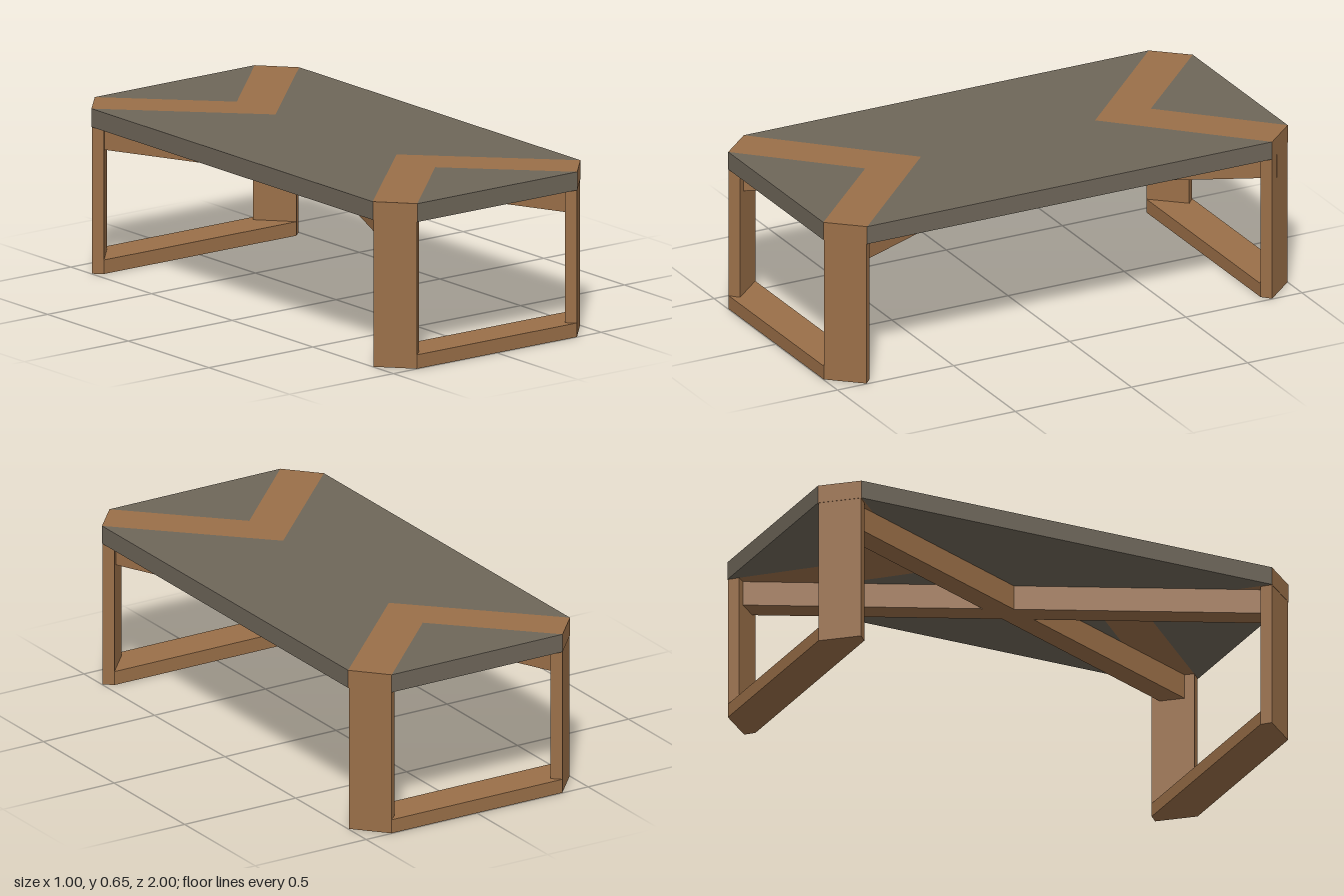
import * as THREE from 'three';

// Prism from a plan outline of [x, z] points, standing between two heights
function prism(name, points, y0, y1, material) {
  const shape = new THREE.Shape(points.map(([x, z]) => new THREE.Vector2(x, -z)));
  const geometry = new THREE.ExtrudeGeometry(shape, { depth: y1 - y0, bevelEnabled: false });
  geometry.rotateX(-Math.PI / 2);
  geometry.translate(0, y0, 0);
  const mesh = new THREE.Mesh(geometry, material);
  mesh.name = name;
  return mesh;
}

export function createModel() {
  const wood = new THREE.MeshStandardMaterial({ color: 0x9a6f48 });
  wood.name = 'oak wood';
  const slate = new THREE.MeshStandardMaterial({ color: 0x6e6659 });
  slate.name = 'grey slate';

  const model = new THREE.Group();
  model.name = 'coffeeTable';
  const H = 0.65, under = 0.578, foot = 0.055;

  // Central tabletop panel, notched by the two V inlays
  model.add(prism('topPanel', [
    [0, 0.375], [0.5, 0.872], [0.5, -0.872], [0, -0.375], [-0.5, -0.872], [-0.5, 0.872],
  ], under, H, slate));

  // Crossed beams under the top, as one X-shaped outline
  const h = 0.045, ex = 0.422, ez = 0.93;
  const a = Math.atan2(ex, ez), c = h * Math.cos(a), s = h * Math.sin(a);
  model.add(prism('crossBeams', [
    [0, h / Math.sin(a)], [ex - c, ez + s], [ex + c, ez - s],
    [h / Math.cos(a), 0], [ex + c, -ez + s], [ex - c, -ez - s],
    [0, -h / Math.sin(a)], [-ex + c, -ez - s], [-ex - c, -ez + s],
    [-h / Math.cos(a), 0], [-ex - c, ez - s], [-ex + c, ez + s],
  ], 0.48, under, wood));

  // Two identical ends, turned half a circle
  for (const [name, turn] of [['front', 0], ['back', Math.PI]]) {
    const end = new THREE.Group();
    end.name = name + 'End';
    end.rotation.y = turn;

    // V inlay through the full thickness and the panel it encloses
    end.add(prism('vInlay', [
      [0, 0.375], [0.5, 0.872], [0.385, 1], [0, 0.615], [-0.385, 1], [-0.5, 0.872],
    ], under, H, wood));
    end.add(prism('endPanel', [[0, 0.615], [0.385, 1], [-0.385, 1]], under, H, slate));

    // Plank legs set across the corners
    for (const m of [1, -1]) {
      end.add(prism(m > 0 ? 'leftLeg' : 'rightLeg', [
        [m * 0.385, 0.998], [m * 0.497, 0.873], [m * 0.463, 0.842], [m * 0.351, 0.967],
      ], foot, under, wood));
    }

    // Floor rail joining the legs
    end.add(prism('floorRail', [
      [-0.385, 0.998], [0.385, 0.998], [0.497, 0.873], [0.463, 0.842],
      [-0.463, 0.842], [-0.497, 0.873],
    ], 0, foot, wood));
    model.add(end);
  }
  return model;
}
